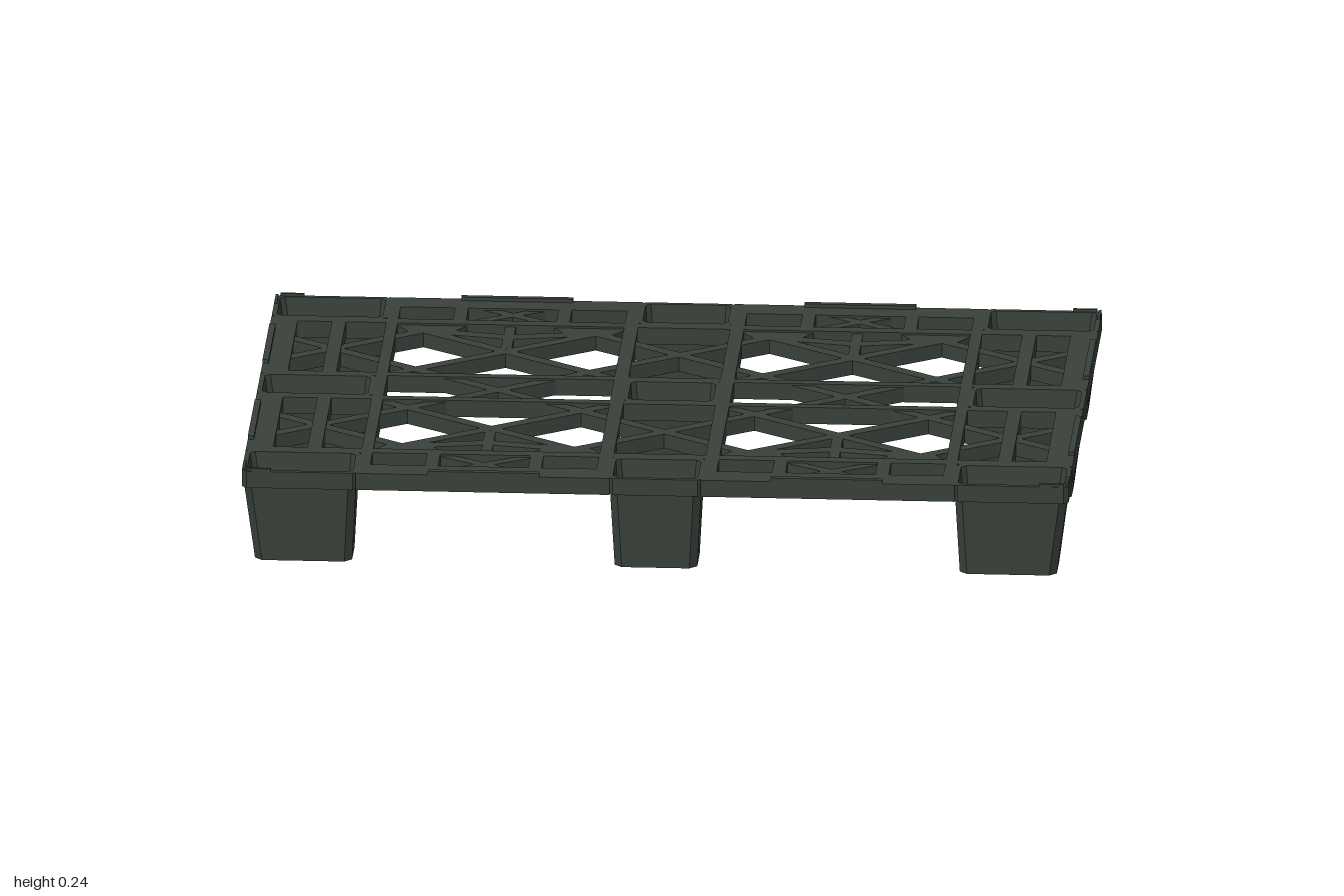
import * as THREE from 'three';

const DECK_LOW = 0.19, DECK_TOP = 0.232;

export function createModel() {
  const pallet = new THREE.Group();
  pallet.name = 'pallet';
  const plastic = new THREE.MeshStandardMaterial({ color: 0x39413a });
  plastic.name = 'dark plastic';

  const add = (name, geometry) => {
    const mesh = new THREE.Mesh(geometry, plastic);
    mesh.name = name;
    pallet.add(mesh);
    return mesh;
  };
  // Box given by its limits
  const slab = (name, x0, x1, z0, z1, y0 = DECK_LOW, y1 = DECK_TOP) =>
    add(name, new THREE.BoxGeometry(x1 - x0, y1 - y0, z1 - z0))
      .position.set((x0 + x1) / 2, (y0 + y1) / 2, (z0 + z1) / 2);
  // Rib running between two points of the deck plan
  const rib = (name, ax, az, bx, bz, width = 0.03) => {
    const mesh = add(name, new THREE.BoxGeometry(Math.hypot(bx - ax, bz - az), 0.036, width));
    mesh.position.set((ax + bx) / 2, 0.209, (az + bz) / 2);
    mesh.rotation.y = -Math.atan2(bz - az, bx - ax);
  };

  // Feet: hollow tapered cups, open at the top
  const ring = (x0, x1, z0, z1, y, c) => [
    [x1, z1 - c], [x1 - c, z1], [x0 + c, z1], [x0, z1 - c],
    [x0, z0 + c], [x0 + c, z0], [x1 - c, z0], [x1, z0 + c],
  ].map(([x, z]) => [x, y, z]);
  const cup = (name, top, bottom) => {
    const inset = (r, t) => [r[0] + t, r[1] - t, r[2] + t, r[3] - t];
    const middle = (r, y) => Array(8).fill([(r[0] + r[1]) / 2, y, (r[2] + r[3]) / 2]);
    const rings = [
      middle(bottom, 0),
      ring(...bottom, 0, 0.018),
      ring(...inset(top, 0.005), DECK_LOW, 0.018),
      ring(...top, DECK_LOW, 0.012),
      ring(...top, DECK_TOP, 0.012),
      ring(...inset(top, 0.012), DECK_TOP, 0.012),
      ring(...inset(bottom, 0.012), 0.012, 0.014),
      middle(bottom, 0.012),
    ];
    const points = [];
    for (let k = 0; k + 1 < rings.length; k++) {
      for (let i = 0; i < 8; i++) {
        const j = (i + 1) % 8;
        const a = rings[k][i], b = rings[k][j], c = rings[k + 1][j], d = rings[k + 1][i];
        if (k > 0) points.push(...a, ...c, ...b);
        if (k + 2 < rings.length) points.push(...a, ...d, ...c);
      }
    }
    const geometry = new THREE.BufferGeometry();
    geometry.setAttribute('position', new THREE.Float32BufferAttribute(points, 3));
    geometry.computeVertexNormals();
    add(name, geometry);
  };
  const columns = [
    [[-1, -0.72], [-0.97, -0.735]],
    [[-0.115, 0.115], [-0.1, 0.1]],
    [[0.72, 1], [0.735, 0.97]],
  ];
  const rows = [
    [[-0.665, -0.503], [-0.645, -0.515]],
    [[-0.08, 0.08], [-0.065, 0.065]],
    [[0.503, 0.665], [0.515, 0.645]],
  ];
  for (const [xTop, xLow] of columns) {
    for (const [zTop, zLow] of rows) cup('foot', [...xTop, ...zTop], [...xLow, ...zLow]);
  }

  for (const s of [-1, 1]) {
    // Rails along the full length and depth
    const span = (name, at, half, length, alongX) => alongX
      ? slab(name, -length, length, s * at - half, s * at + half)
      : slab(name, s * at - half, s * at + half, -length, length);
    span('innerLongRail', 0.49, 0.016, 0.99, true);
    for (const [x0, x1] of [[-0.99, -0.72], [-0.72, -0.115], [0.115, 0.72], [0.72, 0.99]]) {
      slab('middleLongRail', x0, x1, s * 0.0885 - 0.0125, s * 0.0885 + 0.0125);
    }
    slab('middleLongRail', -0.115, 0.115, s * 0.0885 - 0.0125, s * 0.0885 + 0.0125);
    span('outerCrossRail', 0.707, 0.014, 0.655, false);
    span('innerCrossRail', 0.128, 0.017, 0.655, false);

    for (const t of [-1, 1]) {
      const at = (name, x0, x1, z0, z1, y0, y1) => slab(name,
        Math.min(s * x0, s * x1), Math.max(s * x0, s * x1),
        Math.min(t * z0, t * z1), Math.max(t * z0, t * z1), y0, y1);
      const bar = (name, ax, az, bx, bz, w) => rib(name, s * ax, t * az, s * bx, t * bz, w);

      // Outer frame between the feet, with raised lips
      at('edgeRail', 0.11, 0.725, 0.595, 0.665);
      at('sideRail', 0.935, 1, 0.075, 0.508);
      at('edgeLip', 0.28, 0.55, 0.65, 0.665, DECK_TOP, 0.241);
      at('sideLip', 0.985, 1, 0.15, 0.425, DECK_TOP, 0.241);
      at('cornerLip', 0.992, 0.999, 0.6, 0.653, DECK_TOP, 0.239);
      at('cornerLip', 0.93, 0.988, 0.657, 0.664, DECK_TOP, 0.239);

      // Edge windows: two posts with a small cross between
      for (const x of [0.295, 0.545]) at('edgePost', x - 0.016, x + 0.016, 0.5, 0.6);
      bar('edgeBrace', 0.53, 0.495, 0.345, 0.61, 0.026);
      bar('edgeBrace', 0.31, 0.495, 0.495, 0.61, 0.026);

      // Diagonal lattice over the whole deck
      bar('latticeRib', 0.42, 0, -0.21, 0.435);
      bar('latticeRib', 0.42, 0, 0.95, 0.366);
      bar('latticeRib', 0.14, 0.097, 0.625, 0.432);
      bar('latticeRib', 0.7, 0.097, 0.21, 0.435);
      bar('latticeRib', 0.625, 0.435, 0.95, 0.211);

      // Side panel upright
      at('sideUpright', 0.818, 0.852, 0.09, 0.49);

      // Fan of ribs at the outer side of each large opening
      bar('fanRib', 0.19, 0.44, 0.42, 0.398, 0.034);
      bar('fanRib', 0.65, 0.44, 0.42, 0.398, 0.034);
      bar('fanStrut', 0.42, 0.48, 0.42, 0.31, 0.026);
      bar('fanStrut', 0.31, 0.49, 0.26, 0.42, 0.026);
      bar('fanStrut', 0.53, 0.49, 0.58, 0.42, 0.026);

      // Gussets where the lattice meets the inner rail
      for (const x of [0.21, 0.625]) {
        const shape = new THREE.Shape([[-0.075, 0.478], [0.075, 0.478], [0.035, 0.42], [-0.035, 0.42]]
          .map(([dx, z]) => new THREE.Vector2(s * (x + dx), t * z)));
        const gusset = add('gusset', new THREE.ExtrudeGeometry(shape, { depth: 0.036, bevelEnabled: false }));
        gusset.rotation.x = Math.PI / 2;
        gusset.position.y = 0.227;
      }
    }
  }
  return pallet;
}
